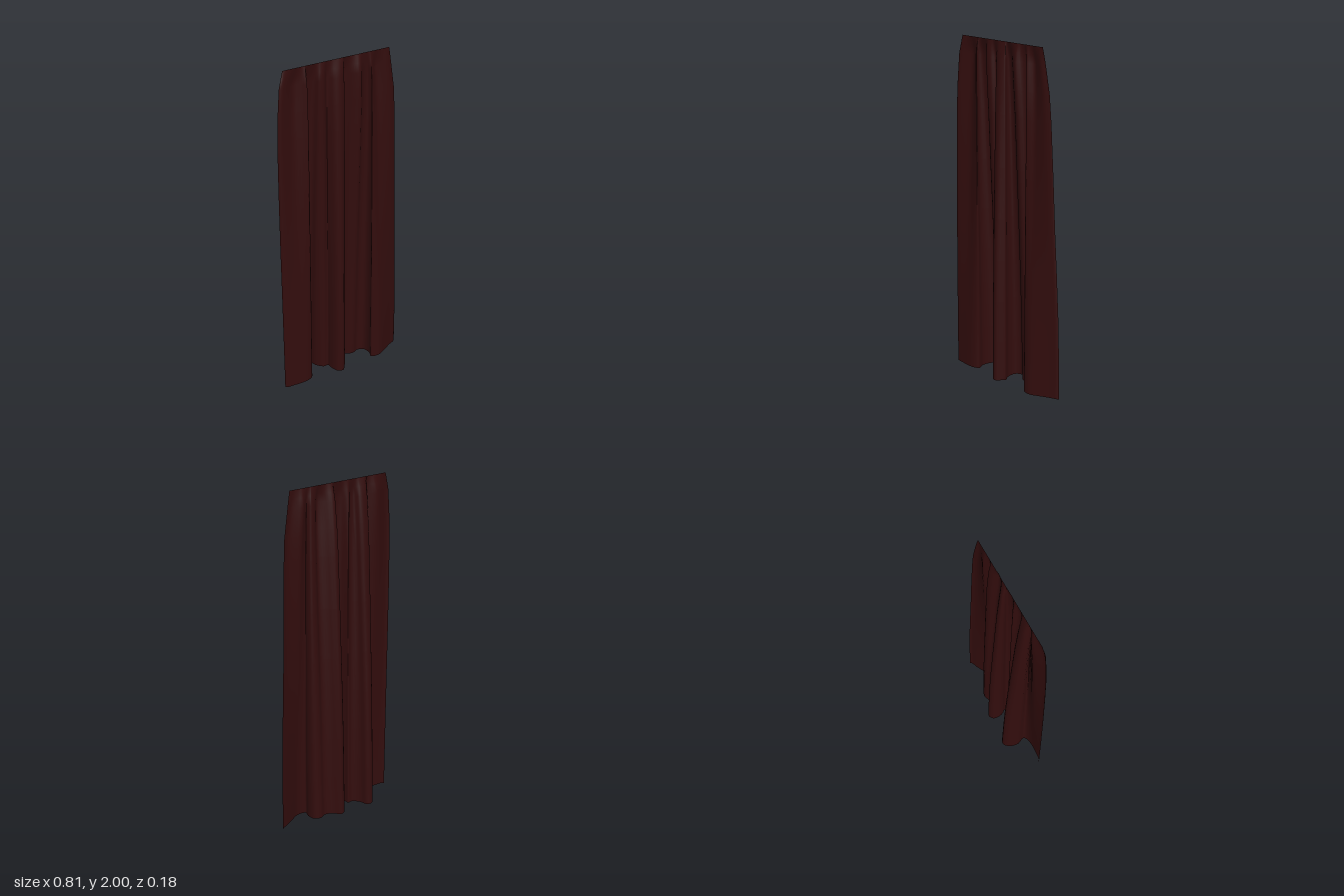
import * as THREE from 'three';

// Columns across the cloth: [x at the rail, x at the hem, z at the hem, small pleat offset near the rail]
const COLUMNS = [
  [-0.355, -0.405, 0.052, 0], [-0.345, -0.395, 0.062, 0.008], [-0.31, -0.345, 0.067, -0.008],
  [-0.275, -0.295, 0.07, -0.024], [-0.245, -0.245, 0.064, -0.005], [-0.225, -0.217, 0.045, 0.015],
  [-0.217, -0.235, 0.0, 0.005], [-0.205, -0.222, -0.06, -0.004], [-0.19, -0.19, -0.09, -0.004],
  [-0.165, -0.16, -0.08, 0], [-0.14, -0.148, -0.04, 0.022], [-0.115, -0.11, 0.0, 0.012],
  [-0.098, -0.082, 0.0, -0.008], [-0.08, -0.078, 0.025, -0.008], [-0.055, -0.06, 0.078, 0.006],
  [-0.028, -0.026, 0.09, 0.012], [-0.005, 0.0, 0.06, 0.01], [0.004, 0.012, 0.04, 0.006],
  [0.008, -0.01, 0.0, -0.004], [0.014, -0.01, -0.058, -0.008], [0.03, 0.028, -0.08, -0.004],
  [0.062, 0.07, -0.04, 0.016], [0.095, 0.115, -0.026, 0.03], [0.12, 0.15, -0.04, 0.008],
  [0.15, 0.19, -0.025, -0.004], [0.16, 0.2, 0.025, 0.002], [0.172, 0.19, 0.06, 0.005],
  [0.187, 0.22, 0.071, -0.01], [0.205, 0.25, 0.069, -0.022], [0.23, 0.295, 0.047, -0.01],
  [0.26, 0.36, 0.013, 0.005], [0.282, 0.393, 0.0, 0], [0.29, 0.405, -0.012, 0],
];

// Rows down the cloth: [y, spread of left side, spread of right side, pleat weight, hem weight]
const ROWS = [
  [2, 0, 0, 0, 0], [1.95, 0.27, 0.09, 0.6, 0.08], [1.9, 0.5, 0.17, 1, 0.14],
  [1.75, 0.75, 0.39, 1, 0.25], [1.6, 0.9, 0.48, 0.9, 0.35], [1.3, 0.97, 0.6, 0.75, 0.5],
  [1, 1, 0.7, 0.55, 0.65], [0.75, 1, 0.81, 0.4, 0.77], [0.5, 1, 0.91, 0.25, 0.87],
  [0.25, 1, 0.97, 0.1, 0.94], [0.005, 1, 1, 0, 1],
];
const RAIL_Z = 0.03;
const SEGMENTS = (COLUMNS.length - 1) * 3;

// One smooth horizontal cross-section of the cloth
function crossSection([y, left, right, pleat, hem]) {
  const points = COLUMNS.map(([xTop, xHem, zHem, fold], i) => {
    const spread = THREE.MathUtils.lerp(left, right, i / (COLUMNS.length - 1));
    return new THREE.Vector3(
      THREE.MathUtils.lerp(xTop, xHem, spread), y,
      RAIL_Z + fold * pleat + (zHem - RAIL_Z) * hem);
  });
  return new THREE.CatmullRomCurve3(points).getPoints(SEGMENTS);
}

// Skin the cross-sections into a single draped sheet
function drapeGeometry() {
  const positions = [], indices = [], stride = SEGMENTS + 1;
  ROWS.forEach((row, r) => {
    crossSection(row).forEach((p, c) => {
      positions.push(p.x, p.y, p.z);
      if (r === 0 || c === 0) return;
      const d = r * stride + c, a = d - stride - 1, b = d - stride, e = d - 1;
      indices.push(a, e, b, b, e, d);
    });
  });
  const geometry = new THREE.BufferGeometry();
  geometry.setAttribute('position', new THREE.Float32BufferAttribute(positions, 3));
  geometry.setIndex(indices);
  geometry.computeVertexNormals();
  return geometry;
}

export function createModel() {
  const cloth = new THREE.MeshStandardMaterial({ color: 0x330d0d, side: THREE.DoubleSide });
  cloth.name = 'dark red cloth';

  const curtain = new THREE.Mesh(drapeGeometry(), cloth);
  curtain.name = 'curtain';

  const group = new THREE.Group();
  group.name = 'drapedCurtain';
  group.add(curtain);
  return group;
}
